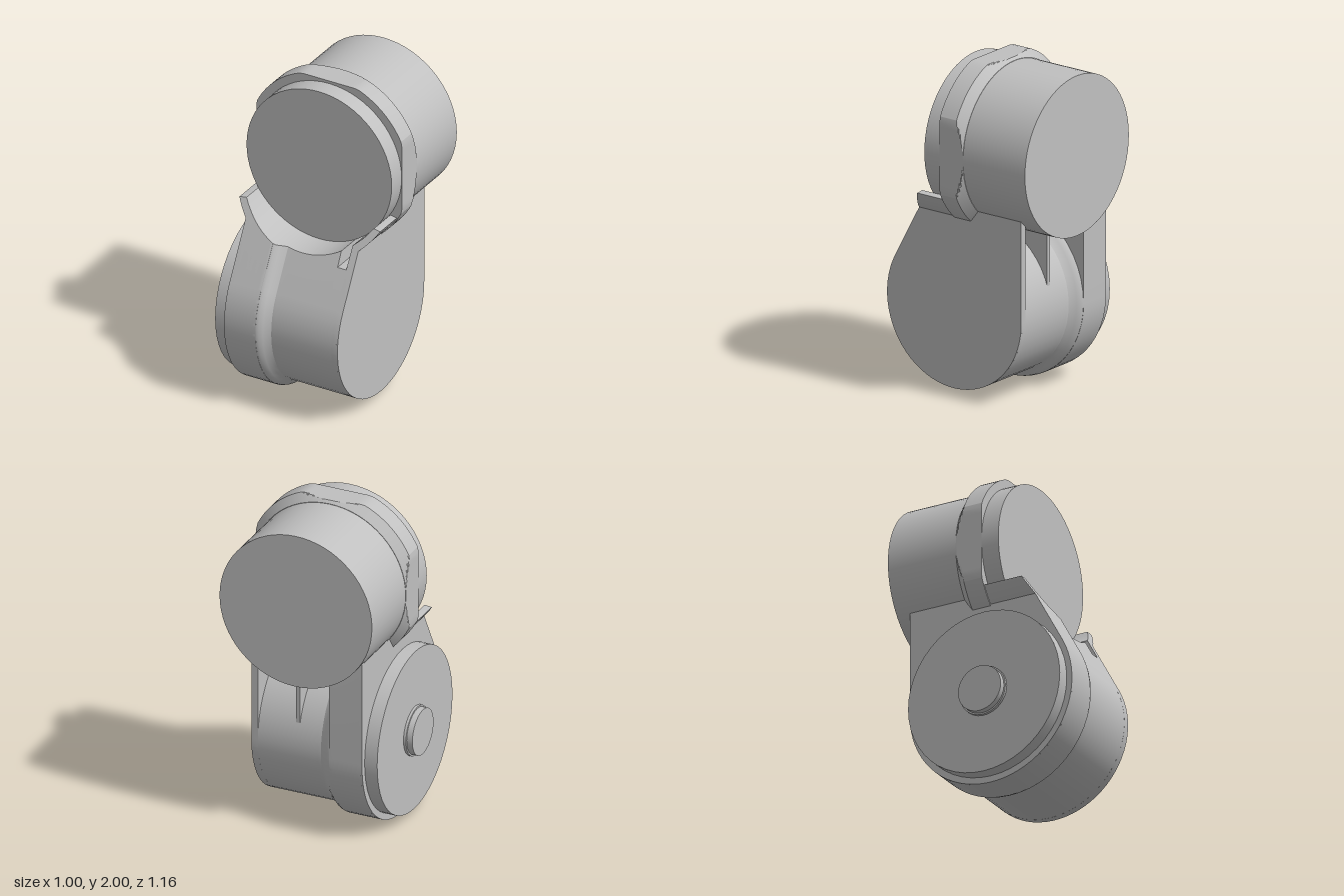
import * as THREE from 'three';
import { toCreasedNormals } from 'three/addons/utils/BufferGeometryUtils.js';

const CZ = 0.042, CY = 0.54;            // axis of the lower drum (runs along x)
const UX = 0.012, UY = 1.497, UR = 0.486; // axis and radius of the upper barrel (runs along z)
const PHI = THREE.MathUtils.degToRad(28.4); // tilt of the sloping front wall

// Skin a list of closed rings, counterclockwise seen from the far end, and cap both ends
function loft(rings, crease = 0.45) {
  const pos = [];
  const tri = (...pts) => pts.forEach(p => pos.push(p.x, p.y, p.z));
  const n = rings[0].length;
  for (let i = 0; i < rings.length - 1; i++) {
    for (let j = 0; j < n; j++) {
      const k = (j + 1) % n, A = rings[i], B = rings[i + 1];
      tri(A[j], A[k], B[k]);
      tri(A[j], B[k], B[j]);
    }
  }
  const cap = (ring, flip) => {
    const c = new THREE.Vector3();
    ring.forEach(p => c.addScaledVector(p, 1 / n));
    ring.forEach((p, j) => {
      const q = ring[(j + 1) % n];
      flip ? tri(c, q, p) : tri(c, p, q);
    });
  };
  cap(rings[0], true);
  cap(rings[rings.length - 1], false);
  const g = new THREE.BufferGeometry();
  g.setAttribute('position', new THREE.Float32BufferAttribute(pos, 3));
  return toCreasedNormals(g, crease);
}

// Drum radius: wide on the cover side, stepping down through a flare
const drumR = x => THREE.MathUtils.lerp(0.54, 0.49, THREE.MathUtils.smoothstep(x, -0.16, -0.08));
// Depth of the sloping front wall at a height
const slopeZ = (y, r) => CZ + (r - (y - CY) * Math.sin(PHI)) / Math.cos(PHI);
// Height of the cradle under the barrel, with a small drain notch
const cradleY = x => {
  const y = UY - Math.sqrt(UR * UR - (x - UX) ** 2);
  return x > 0.255 && x < 0.315 ? 0.99 : y;
};

// Housing section at x: round below, sloping wall in front, open or straight behind
function section(x, r, straightBack) {
  const top = cradleY(x), pts = [];
  const end = straightBack ? -Math.PI : -1.5 * Math.PI, n = 40;
  const add = (z, y) => pts.push(new THREE.Vector3(x, Math.min(y, top), z));
  for (let i = 0; i <= n; i++) {
    const a = PHI + (end - PHI) * i / n;
    add(CZ + r * Math.cos(a), CY + r * Math.sin(a));
  }
  add(straightBack ? CZ - r : CZ, top);
  add(slopeZ(top, r), top);
  return pts;
}

function stations(a, b, step = 0.02) {
  const n = Math.max(1, Math.round((b - a) / step));
  return Array.from({ length: n + 1 }, (_, i) => a + (b - a) * i / n);
}

export function createModel() {
  const group = new THREE.Group();
  const grey = new THREE.MeshStandardMaterial({ color: 0xc0c0c0 });
  grey.name = 'plain grey';
  const add = (name, geometry, x = 0, y = 0, z = 0) => {
    const m = new THREE.Mesh(geometry, grey);
    m.name = name;
    m.position.set(x, y, z);
    group.add(m);
    return m;
  };

  // Lower drum with its sloping front wall and cradle
  const xs = [...stations(-0.36, 0.35), 0.254, 0.256, 0.314, 0.316].sort((a, b) => a - b);
  add('drumHousing', loft(xs.map(x => section(x, drumR(x), false))));

  // Upright plates that carry the barrel at the back
  const plate = (name, a, b, r) => add(name, loft(stations(a, b).map(x => section(x, r, true))));
  plate('wideSidePlate', -0.37, -0.16, 0.54);
  plate('thinSidePlate', 0.318, 0.36, 0.49);
  plate('middleRib', 0.06, 0.085, 0.465);

  // Cradle wings reaching out past the housing on both sides
  const wing = (name, from, to) => {
    const rings = stations(from, to, 2).map(deg => {
      const a = THREE.MathUtils.degToRad(deg);
      const at = (r, front) => {
        const x = UX + r * Math.cos(a), y = Math.min(UY + r * Math.sin(a), 1.23);
        return new THREE.Vector3(x, y, front ? slopeZ(y, drumR(x)) : 0);
      };
      return [at(0.487, true), at(0.53, true), at(0.53, false), at(0.487, false)];
    });
    add(name, loft(rings));
  };
  wing('rightCradleWing', 211, 232);
  wing('leftCradleWing', 311, 329);

  // Round cover and stepped hub on the side of the drum
  const disc = (name, r, x0, x1) => {
    const g = new THREE.CylinderGeometry(r, r, x1 - x0, 48).rotateZ(Math.PI / 2);
    add(name, g, (x0 + x1) / 2, CY + 0.004, CZ);
  };
  disc('drumCover', 0.505, -0.45, -0.36);
  disc('hubBase', 0.152, -0.466, -0.44);
  disc('hub', 0.142, -0.502, -0.46);

  // Upper barrel
  const barrel = new THREE.CylinderGeometry(UR, UR, 0.735, 64).rotateX(Math.PI / 2);
  add('barrel', barrel, UX, UY, -0.2155);

  // Flange round the barrel: flattened at the top and sides, chamfered at the back
  const flangeZ = [...stations(-0.131, -0.08, 0.006), 0.04];
  const flange = flangeZ.map(z => {
    const r = Math.min(0.537, 0.488 + (z + 0.131) * 0.96);
    return Array.from({ length: 96 }, (_, i) => {
      const a = i / 96 * Math.PI * 2;
      return new THREE.Vector3(
        UX + THREE.MathUtils.clamp(r * Math.cos(a), -0.4875, 0.4875),
        UY + Math.min(r * Math.sin(a), 0.503), z);
    });
  });
  add('barrelFlange', loft(flange, 0.3));

  return group;
}
